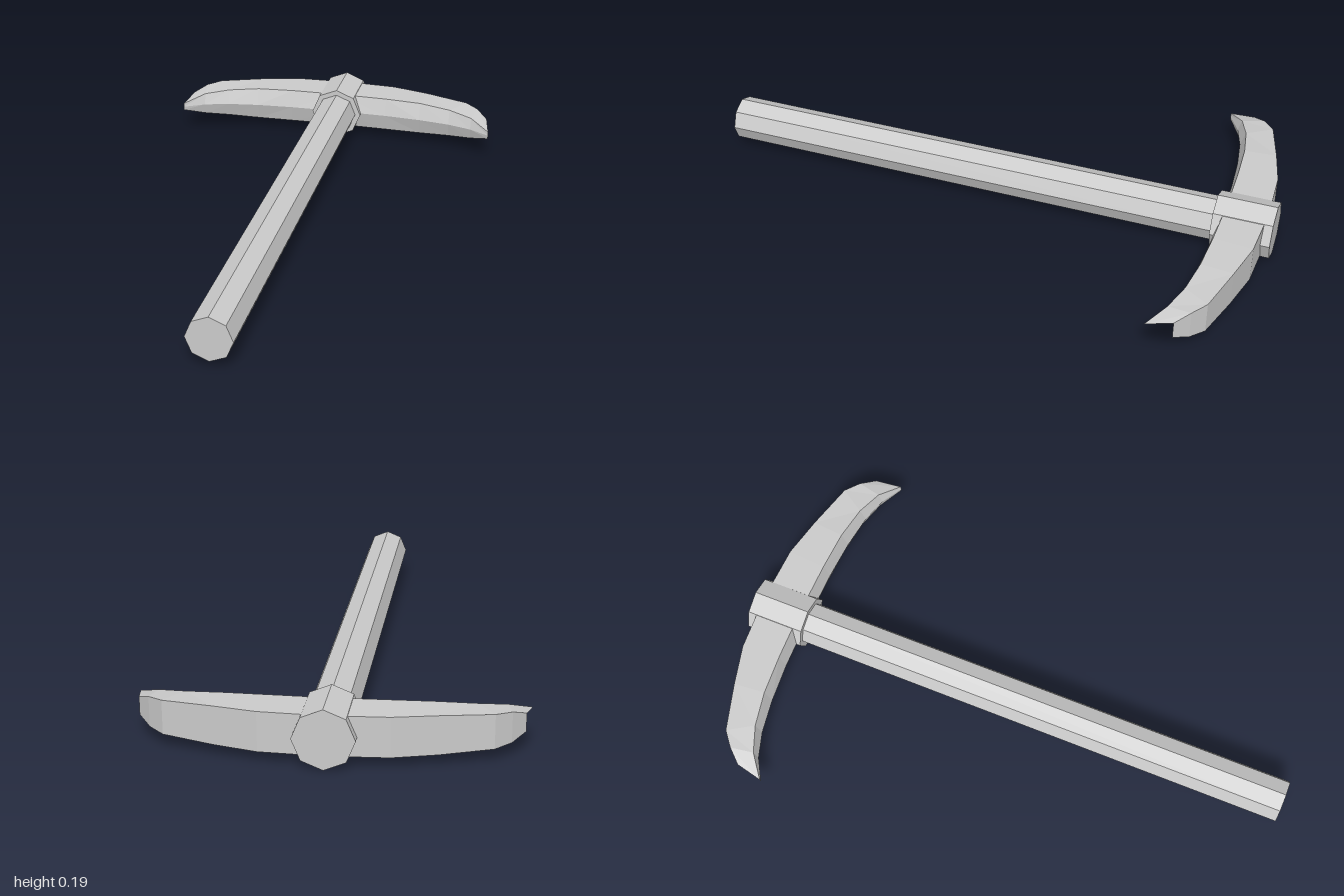
import * as THREE from 'three';

const material = new THREE.MeshStandardMaterial({ color: 0xcccccc, flatShading: true });
const CX = -0.006, CY = 0.097;

// Octagonal bar along z, corner up
function octagonBar(name, radius, z0, z1) {
  const geo = new THREE.CylinderGeometry(radius, radius, z1 - z0, 8);
  geo.rotateX(Math.PI / 2);
  const mesh = new THREE.Mesh(geo, material);
  mesh.name = name;
  mesh.position.set(CX, CY, (z0 + z1) / 2);
  return mesh;
}

// Half blade stations: back x, back z, back half height, front x, front z, front half height, ridge z
const STATIONS = [
  [0.00, -0.973, 0.065, 0.00, -0.830, 0.065, -0.811],
  [0.20, -0.963, 0.065, 0.19, -0.826, 0.065, -0.808],
  [0.34, -0.930, 0.063, 0.33, -0.818, 0.063, -0.798],
  [0.505, -0.885, 0.056, 0.45, -0.798, 0.054, -0.780],
  [0.555, -0.845, 0.050, 0.54, -0.765, 0.042, -0.752],
  [0.597, -0.800, 0.030, 0.615, -0.710, 0.014, -0.708],
];

// Five-sided blade: flat back, top and bottom, ridged front
function blade(name, side) {
  const rings = STATIONS.map(([bx, bz, bh, fx, fz, fh, rz]) => [
    [bx, bh, bz], [fx, fh, fz], [fx, 0, rz], [fx, -fh, fz], [bx, -bh, bz],
  ].map(([x, y, z]) => [x * side, y, z]));
  const pos = [];
  const tri = (a, b, c) => pos.push(...(side > 0 ? [a, b, c] : [a, c, b]).flat());
  for (let i = 0; i < rings.length - 1; i++) {
    for (let j = 0; j < 5; j++) {
      const k = (j + 1) % 5;
      const a = rings[i][j], b = rings[i + 1][j], c = rings[i + 1][k], d = rings[i][k];
      tri(a, c, b);
      tri(a, d, c);
    }
  }
  // Blunt tip
  const end = rings[rings.length - 1];
  for (let j = 1; j < 4; j++) tri(end[0], end[j + 1], end[j]);
  const geo = new THREE.BufferGeometry();
  geo.setAttribute('position', new THREE.Float32BufferAttribute(pos, 3));
  geo.computeVertexNormals();
  const mesh = new THREE.Mesh(geo, material);
  mesh.name = name;
  mesh.position.set(-0.002, 0.099, 0);
  return mesh;
}

export function createModel() {
  const model = new THREE.Group();
  model.name = 'pickaxe';
  model.add(
    octagonBar('handle', 0.077, -0.85, 1),
    octagonBar('collar', 0.097, -1, -0.795),
    blade('leftBlade', 1),
    blade('rightBlade', -1),
  );
  return model;
}
